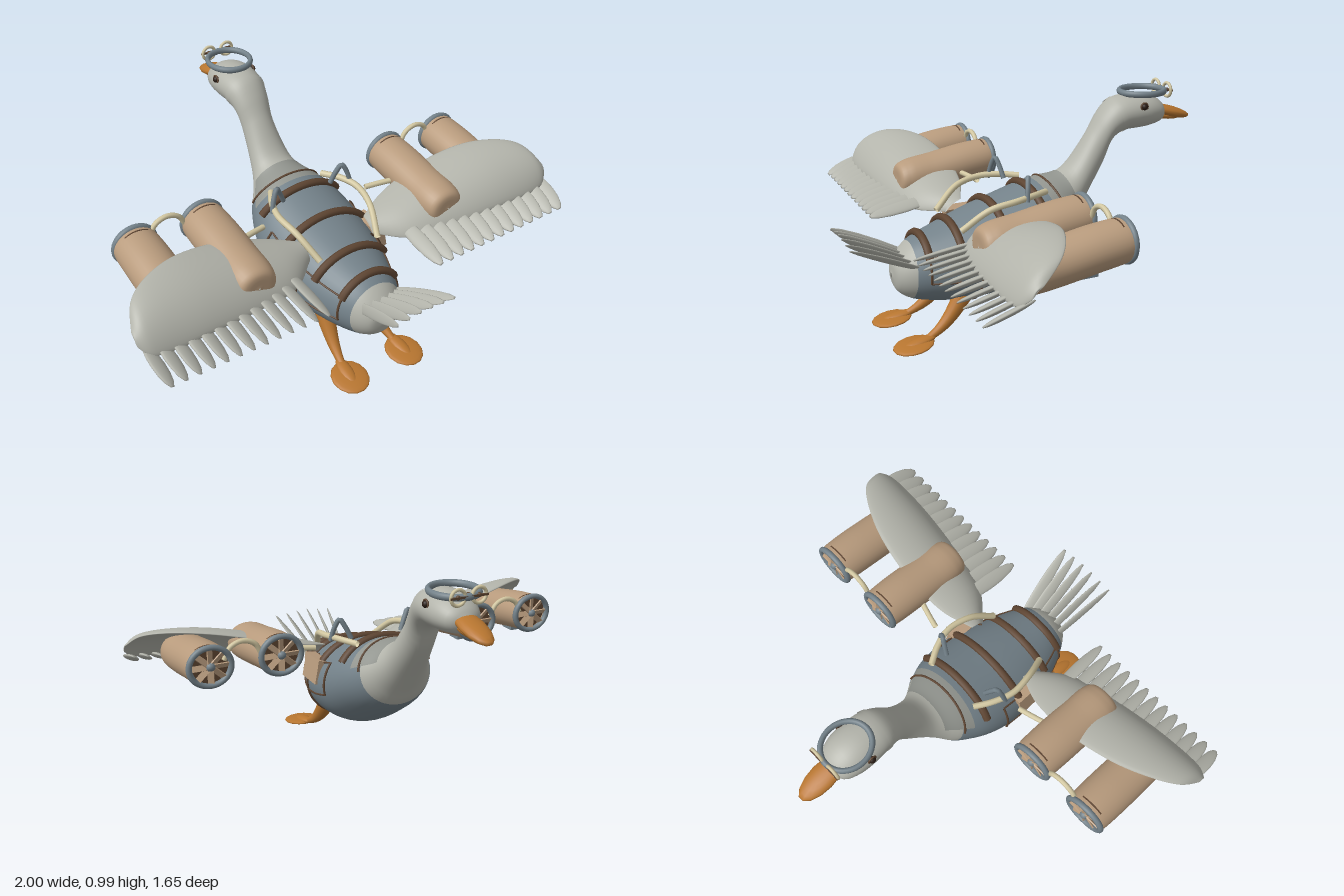
import * as THREE from 'three';
import { ParametricGeometry } from 'three/addons/geometries/ParametricGeometry.js';

const V = (x, y, z) => new THREE.Vector3(x, y, z);
const paint = (name, color) => {
  const m = new THREE.MeshStandardMaterial({ color, side: THREE.DoubleSide });
  m.name = name;
  return m;
};

export function createModel() {
  const grey = paint('feather grey', 0xb3b4ab);
  const collarGrey = paint('collar grey', 0x92958f);
  const blue = paint('slate blue', 0x74828a);
  const tan = paint('tan', 0xb89b7d);
  const orange = paint('orange', 0xb87630);
  const brown = paint('strap brown', 0x5e4532);
  const cream = paint('hose cream', 0xd3c8a2);
  const dark = paint('eye dark', 0x2a1d16);

  const model = new THREE.Group();
  model.name = 'flyingGoose';
  const add = (name, geo, mat, pos, parent = model) => {
    const m = new THREE.Mesh(geo, mat);
    m.name = name;
    if (pos) m.position.copy(pos);
    parent.add(m);
    return m;
  };
  // Skin over rings: f(angle, v) gives a point; s mirrors in x
  const loft = (f, s = 1, nu = 32, nv = 24, a0 = 0, a1 = Math.PI * 2) => new ParametricGeometry((u, v, t) => {
    t.copy(f(s > 0 ? a0 + (a1 - a0) * u : a1 - (a1 - a0) * u, v));
    t.x *= s;
  }, nu, nv);
  const tube = (name, pts, r, mat, parent) =>
    add(name, new THREE.TubeGeometry(new THREE.CatmullRomCurve3(pts), 24, r, 8), mat, null, parent);
  // Stretched ellipsoid between two points
  const leaf = (name, p, q, w, t, mat, roll = 0, parent = model) => {
    const m = add(name, new THREE.SphereGeometry(1, 14, 10), mat, p.clone().add(q).multiplyScalar(0.5), parent);
    m.lookAt(q);
    m.rotateZ(roll);
    m.scale.set(w, t, p.distanceTo(q) / 2);
    return m;
  };

  // Goose outline, tail to head: top z, top y, bottom z, bottom y, half width
  const rows = [
    [.61, .30, .61, .28, .01], [.595, .36, .59, .22, .075], [.52, .43, .53, .18, .13],
    [.4, .475, .4, .155, .185], [.25, .525, .25, .15, .225], [.1, .57, .08, .18, .235],
    [0, .60, -.06, .26, .215], [-.08, .62, -.18, .35, .17], [-.17, .635, -.23, .43, .12],
    [-.23, .68, -.28, .51, .092], [-.31, .79, -.37, .65, .073], [-.37, .88, -.41, .75, .08],
    [-.43, .935, -.47, .79, .093], [-.52, .952, -.54, .795, .1], [-.6, .945, -.6, .80, .095],
    [-.66, .915, -.66, .815, .07], [-.69, .875, -.69, .855, .015],
  ];
  const top = new THREE.CatmullRomCurve3(rows.map(r => V(r[4], r[1], r[0])));
  const low = new THREE.CatmullRomCurve3(rows.map(r => V(r[4], r[3], r[2])));
  top.curveType = low.curveType = 'catmullrom';
  const skin = (k, a, g = 1) => {
    const t = top.getPoint(k / (rows.length - 1)), b = low.getPoint(k / (rows.length - 1));
    const c = t.clone().add(b).multiplyScalar(0.5), d = t.clone().sub(b).multiplyScalar(g * 0.5 * Math.cos(a));
    return V(t.x * g * Math.sin(a), c.y + d.y, c.z + d.z);
  };
  const hull = (name, k0, k1, mat, g = 1, a0, a1) =>
    add(name, loft((a, v) => skin(k0 + (k1 - k0) * v, a, g), 1, 40, 30, a0, a1), mat);
  hull('tailEnd', 0, 2.2, grey);
  hull('bodyArmour', 1.9, 7.1, blue, 1.01);
  hull('neckAndHead', 7, 16, grey, 1);
  hull('collar', 6.6, 8, collarGrey, 1.025, -1.25, 1.25);
  hull('neckCuff', 11.8, 12.1, grey, 1.03);
  const arc = (name, k, a0, a1, r, mat, g) => tube(name, Array.from({ length: 13 },
    (_, i) => skin(k, a0 + (a1 - a0) * i / 12, g)), r, mat);

  // Leather belts over the back, and thin stitched seams
  for (const k of [6, 4.5, 3.3, 2.35]) arc('belt', k, -1.05, 1.05, .018, brown, 1.03);
  for (const s of [1, -1]) {
    for (const [k, a0, a1] of [[2.35, 1, 1.75], [3.75, .8, 3.1], [5.15, 1, 1.75], [7.05, 0, 1.4]])
      arc('seam', k, s * a0, s * a1, .005, brown, 1.03);
    for (const a of [1, 1.75])
      tube('longSeam', [2.35, 3, 3.7, 4.4, 5.15].map(k => skin(k, s * a, 1.02)), .004, brown);
  }

  // Bill, eyes and goggles
  leaf('bill', V(0, .885, -.60), V(0, .82, -.835), .054, .026, orange);
  leaf('lowerBill', V(0, .85, -.60), V(0, .822, -.79), .04, .018, orange);
  for (const s of [1, -1]) {
    const eye = new THREE.Group();
    eye.name = 'eye';
    eye.position.set(s * .093, .905, -.54);
    eye.rotation.y = Math.PI / 2;
    model.add(eye);
    add('eyeRing', new THREE.TorusGeometry(.017, .004, 8, 20), brown, null, eye);
    add('eyeball', new THREE.SphereGeometry(.015, 14, 10), dark, null, eye);
    add('lensRim', new THREE.TorusGeometry(.03, .007, 8, 24), cream, V(s * .045, .96, -.685));
    add('lensHub', new THREE.SphereGeometry(.009, 10, 8), brown, V(s * .045, .96, -.685));
  }
  const strap = add('goggleStrap', new THREE.TorusGeometry(.093, .011, 10, 40), blue, V(0, .957, -.582));
  strap.rotation.x = Math.PI / 2;
  strap.scale.set(1, 1.1, 1.3);
  add('goggleBar', new THREE.BoxGeometry(.16, .008, .008), brown, V(0, .96, -.69));

  // Fanned tail feathers
  for (let i = 0; i < 6; i++) {
    const x = -.12 + i * .056;
    leaf('tailFeather', V(x * .55, .31, .46), V(x, .505 - Math.abs(i - 2.5) * .006, .825), .026, .007, grey, 1.35 - i * .16);
  }

  // Wing edges, root to tip
  const lead = new THREE.CatmullRomCurve3([V(.16, .52, .23), V(.3, .56, .175), V(.5, .62, .16), V(.7, .665, .19),
    V(.85, .675, .25), V(.95, .655, .32), V(.995, .60, .40), V(1, .58, .43)], false, 'catmullrom');
  const trail = new THREE.CatmullRomCurve3([V(.16, .47, .30), V(.3, .46, .41), V(.5, .48, .455), V(.7, .50, .48),
    V(.85, .505, .49), V(.95, .515, .485), V(.995, .55, .455), V(1, .575, .435)], false, 'catmullrom');
  const wingPoint = (a, v) => {
    const l = lead.getPoint(v), t = trail.getPoint(v), span = l.distanceTo(t);
    const h = Math.sin(a) * -.06 * span + .13 * span * Math.sin(a) ** 2;
    return l.clone().lerp(t, .5 + .5 * Math.cos(a)).add(V(0, .8 * h, .6 * h));
  };
  // Engine outline, back to front: z, y, radius
  const podCurve = new THREE.CatmullRomCurve3([V(.004, .545, .415), V(.075, .545, .408), V(.093, .55, .37),
    V(.098, .565, .25), V(.099, .59, .1), V(.096, .602, 0), V(.092, .605, -.035)]);

  for (const s of [1, -1]) {
    const side = s > 0 ? 'left' : 'right';
    const P = (x, y, z) => V(s * x, y, z);
    const wing = new THREE.Group();
    wing.name = side + 'Wing';
    model.add(wing);
    add('wingPanel', loft(wingPoint, s, 32, 40), grey, null, wing);
    for (let i = 0; i < 13; i++) {
      const f = i / 12, x = .28 + .67 * f;
      leaf('wingFeather', P(x + .015, .50 + .035 * f, .29 + .13 * f), P(x, .455 + .01 * f, .612), .034, .011, grey, s * .5, wing);
    }

    // Engines with intake rim and fan
    for (const x of [.47, .77]) {
      const pod = new THREE.Group();
      pod.name = side + 'Engine';
      pod.position.x = s * x;
      model.add(pod);
      add('casing', loft((a, v) => {
        const c = podCurve.getPoint(v);
        return V(c.x * Math.sin(a), c.y + .88 * c.x * Math.cos(a), c.z);
      }), tan, null, pod);
      const fan = new THREE.Group();
      fan.name = 'intakeFan';
      fan.position.set(0, .605, -.03);
      fan.scale.y = .92;
      pod.add(fan);
      add('rim', new THREE.TorusGeometry(.087, .013, 10, 36), blue, null, fan);
      add('backPlate', new THREE.CylinderGeometry(.09, .09, .006, 32).rotateX(Math.PI / 2), brown, V(0, 0, .03), fan);
      add('hub', new THREE.SphereGeometry(.02, 14, 10), blue, null, fan);
      for (let i = 0; i < 8; i++) {
        const blade = add('blade', new THREE.BoxGeometry(.026, .075, .006).rotateY(.5).translate(0, .045, 0), tan, null, fan);
        blade.rotation.z = i * Math.PI / 4;
      }
      add('underVent', new THREE.BoxGeometry(.05, .02, .07), blue, V(0, .5, .12), pod);
    }
    // Hoses, handles and side pouch
    tube('engineHose', [P(.55, .62, -.02), P(.58, .67, -.02), P(.63, .688, -.02), P(.68, .67, -.02), P(.71, .62, -.02)], .011, cream);
    tube('wingHose', [P(.26, .56, .105), P(.32, .565, .12), P(.39, .57, .14)], .012, cream);
    tube('backHose', [P(.13, .60, -.04), P(.175, .605, .04), P(.2, .60, .13), P(.185, .575, .24), P(.145, .49, .35)], .014, cream);
    tube('handle', [P(.2, .59, .08), P(.185, .65, .07), P(.165, .685, .06), P(.145, .655, .05), P(.12, .60, .04)], .011, blue);
    const pouch = add('sidePouch', new THREE.BoxGeometry(.045, .1, .14), tan, P(.215, .415, .22));
    pouch.rotation.z = s * .2;
    add('pouchFlap', new THREE.BoxGeometry(.05, .03, .146).translate(0, .045, 0), tan, P(.215, .415, .22)).rotation.z = s * .2;

    // Leg and webbed foot
    const leg = new THREE.Group();
    leg.name = side + 'Leg';
    model.add(leg);
    add('shank', loft((a, v) => {
      const c = V(.135 - .03 * v, .04 + .18 * v - .03 * Math.sin(Math.PI * v), .5 - .18 * v);
      const r = .016 + .03 * v ** 1.3;
      return c.add(V(r * Math.sin(a), .7 * r * Math.cos(a), .7 * r * Math.cos(a)));
    }, s, 16, 12), orange, null, leg);
    leaf('foot', P(.135, .034, .485), P(.15, .012, .66), .08, .013, orange, 0, leg);
    leaf('footRidge', P(.135, .045, .47), P(.148, .018, .62), .03, .017, orange, 0, leg);
  }
  return model;
}
